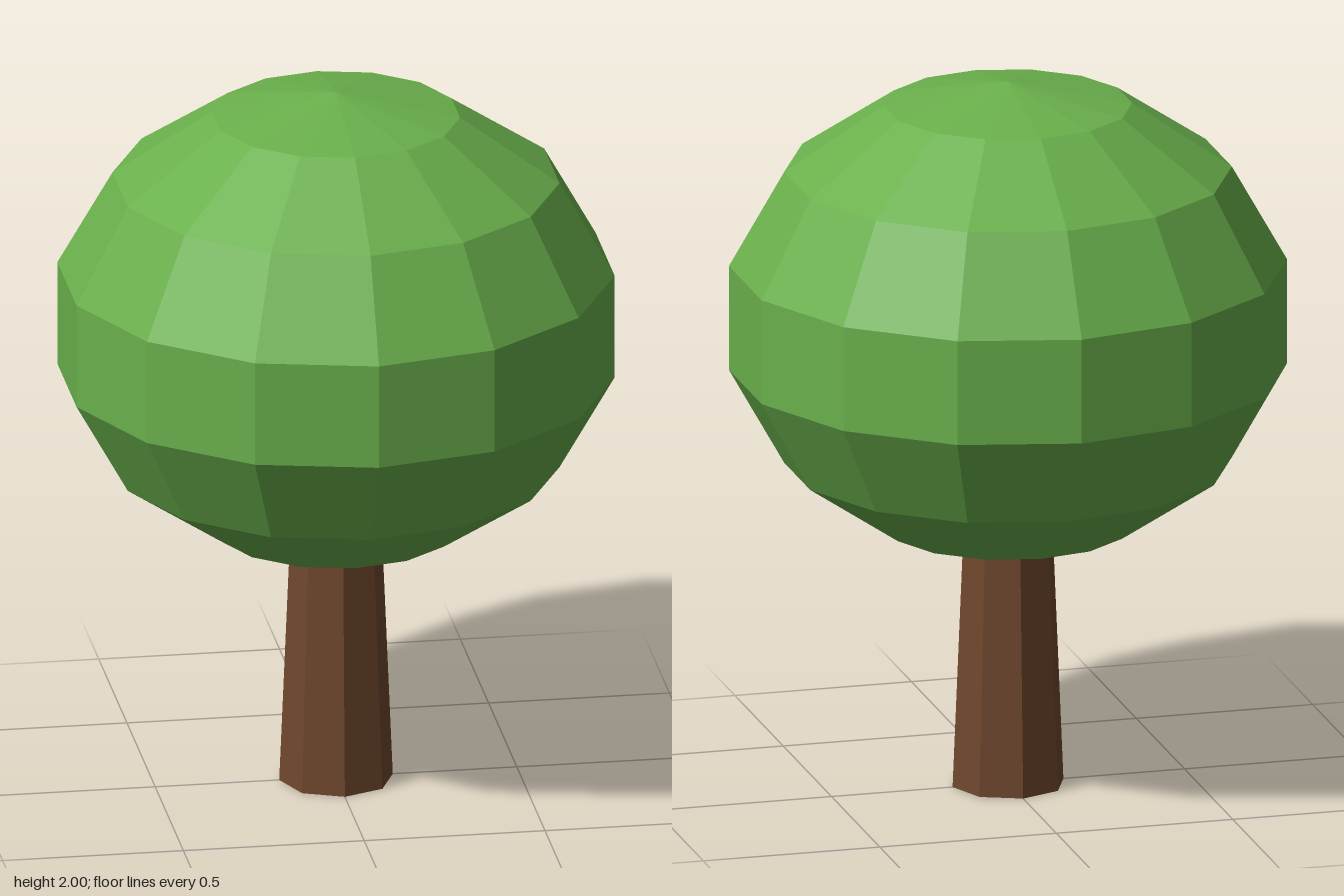
import * as THREE from 'three';

export function createModel() {
  const tree = new THREE.Group();
  tree.name = 'tree';

  const addPart = (name, geometry, color, y) => {
    const material = new THREE.MeshStandardMaterial({ color, flatShading: true });
    const mesh = new THREE.Mesh(geometry, material);
    mesh.name = name;
    mesh.position.y = y;
    tree.add(mesh);
  };

  // Tapered eight-sided trunk, its top sunk into the crown
  const trunkHeight = 0.85;
  addPart('trunk', new THREE.CylinderGeometry(0.121, 0.157, trunkHeight, 8), 0x6f472d, trunkHeight / 2);

  // Faceted crown, slightly flattened, with corners facing front and back
  const crownRadius = 0.783;
  const crownHalfHeight = 0.665;
  const crown = new THREE.SphereGeometry(crownRadius, 14, 7, Math.PI / 2);
  crown.scale(1, crownHalfHeight / crownRadius, 1);
  addPart('crown', crown, 0x6ab04c, 2 - crownHalfHeight);

  return tree;
}
